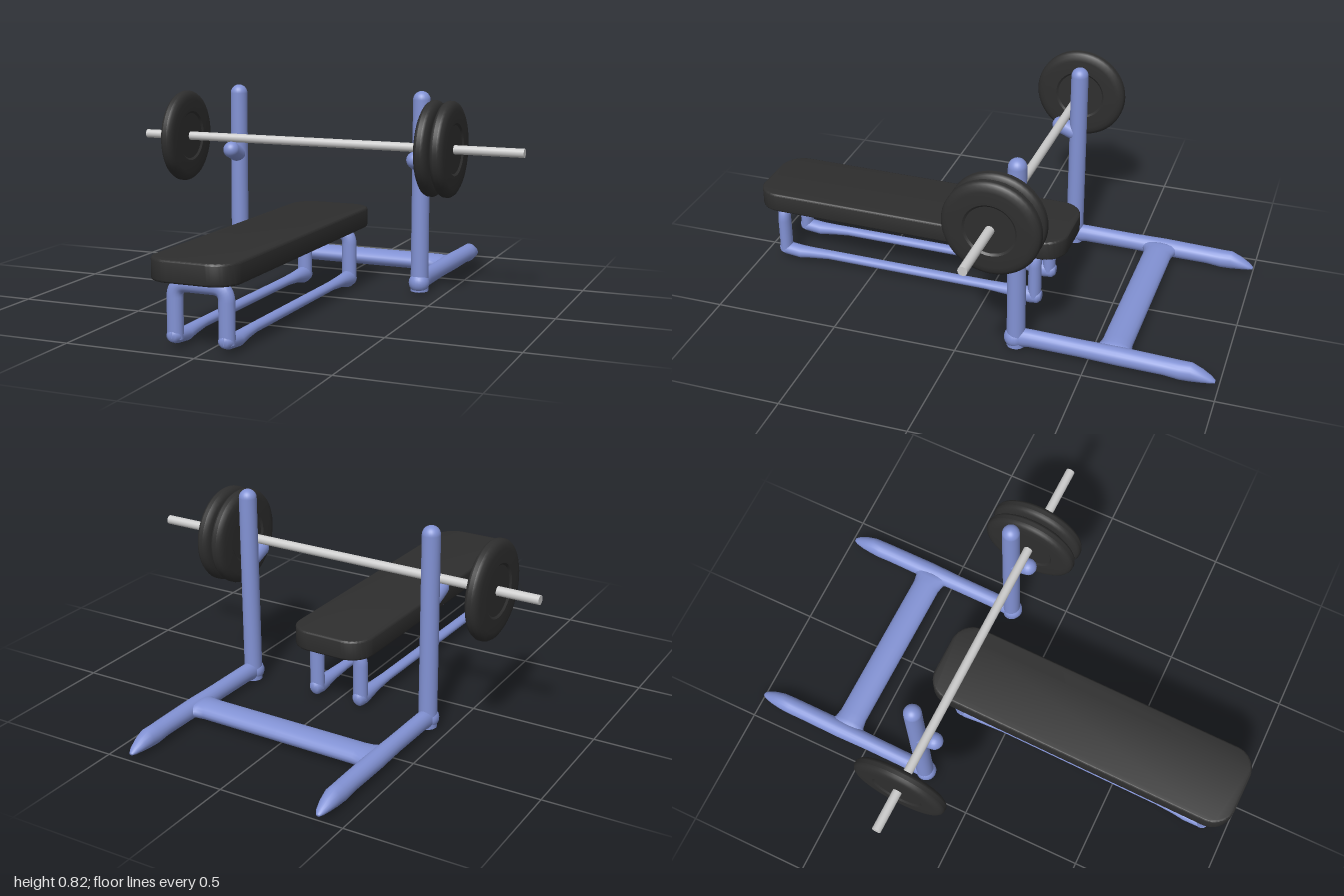
import * as THREE from 'three';
import { toCreasedNormals } from 'three/addons/utils/BufferGeometryUtils.js';

const blue = new THREE.MeshStandardMaterial({ color: 0x8292d4 });
const black = new THREE.MeshStandardMaterial({ color: 0x2e2e2e });
const steel = new THREE.MeshStandardMaterial({ color: 0xcccccc });

function add(parent, name, geometry, material, x = 0, y = 0, z = 0) {
  const mesh = new THREE.Mesh(geometry, material);
  mesh.name = name;
  mesh.position.set(x, y, z);
  parent.add(mesh);
  return mesh;
}

// Closed skin over elliptical rings [z, y, halfWidth, halfHeight], z increasing
function loft(rings, sides = 20) {
  const first = rings[0], last = rings[rings.length - 1];
  const all = [[first[0], first[1], 0, 0], ...rings, [last[0], last[1], 0, 0]];
  const pos = [], index = [];
  all.forEach(([z, y, rx, ry], i) => {
    for (let j = 0; j < sides; j++) {
      const a = (j / sides) * Math.PI * 2;
      pos.push(rx * Math.cos(a), y + ry * Math.sin(a), z);
      if (i === all.length - 1) continue;
      const p = i * sides + j, q = i * sides + ((j + 1) % sides);
      index.push(p, q, q + sides, p, q + sides, p + sides);
    }
  });
  const g = new THREE.BufferGeometry();
  g.setAttribute('position', new THREE.Float32BufferAttribute(pos, 3));
  g.setIndex(index);
  g.computeVertexNormals();
  return g;
}

// Rounded cushion: w along x, l along z, sitting from y = 0 to h
function cushion(w, l, h, r) {
  const b = 0.008, x = w / 2 - b, y = l / 2 - b;
  const s = new THREE.Shape();
  s.moveTo(-x + r, -y);
  s.lineTo(x - r, -y).absarc(x - r, -y + r, r, -Math.PI / 2, 0);
  s.lineTo(x, y - r).absarc(x - r, y - r, r, 0, Math.PI / 2);
  s.lineTo(-x + r, y).absarc(-x + r, y - r, r, Math.PI / 2, Math.PI);
  s.lineTo(-x, -y + r).absarc(-x + r, -y + r, r, Math.PI, Math.PI * 1.5);
  const g = new THREE.ExtrudeGeometry(s, {
    depth: h - 2 * b, bevelSize: b, bevelThickness: b, bevelSegments: 3, curveSegments: 10,
  });
  g.rotateX(-Math.PI / 2).translate(0, b, 0);
  return toCreasedNormals(g, 0.6);
}

// Weight plate with a dished centre, axis along x
function plateGeometry() {
  const side = [[0, 0.021], [0.096, 0.021], [0.104, 0.0275], [0.155, 0.0275], [0.172, 0.025], [0.184, 0.018], [0.19, 0.008]];
  const points = [
    ...side.map(([r, y]) => new THREE.Vector2(r, -y)),
    ...side.slice().reverse().map(([r, y]) => new THREE.Vector2(r, y)),
  ];
  return toCreasedNormals(new THREE.LatheGeometry(points, 48).rotateZ(Math.PI / 2), 0.6);
}

function buildRack(parent) {
  const rack = new THREE.Group();
  rack.name = 'rack';
  rack.position.x = -0.014;
  parent.add(rack);
  const railRings = [
    [-0.992, 0.022, 0.008, 0.005], [-0.975, 0.028, 0.018, 0.014], [-0.94, 0.037, 0.028, 0.026],
    [-0.9, 0.044, 0.034, 0.037], [-0.86, 0.043, 0.036, 0.037], [-0.8, 0.047, 0.036, 0.034],
    [-0.62, 0.049, 0.037, 0.036], [-0.48, 0.05, 0.033, 0.034], [-0.28, 0.05, 0.032, 0.036],
    [-0.22, 0.045, 0.033, 0.04], [-0.19, 0.045, 0.026, 0.032],
  ];
  for (const s of [-1, 1]) {
    const x = s * 0.405;
    // Upright with rounded top
    add(rack, 'upright', new THREE.CylinderGeometry(0.035, 0.036, 0.775, 24), blue, x, 0.3975, -0.22);
    add(rack, 'uprightTop', new THREE.SphereGeometry(0.035, 24, 12, 0, Math.PI * 2, 0, Math.PI / 2), blue, x, 0.785, -0.22);
    add(rack, 'uprightBase', new THREE.SphereGeometry(0.042, 20, 14), blue, x, 0.045, -0.215);
    // Floor rail with tapered foot
    add(rack, 'floorRail', loft(railRings), blue, x);
    // Stubby bar rest, tilted up
    const hook = add(rack, 'barRest', new THREE.CapsuleGeometry(0.034, 0.06, 8, 20), blue, x, 0.542, -0.172);
    hook.rotation.x = 1.2;
  }
  // Cross tube, flared where it meets the rails
  const half = [[0.33, 0.05, 0.059, 0.035], [0.365, 0.05, 0.066, 0.034], [0.38, 0.05, 0.08, 0.031], [0.4, 0.05, 0.095, 0.024]];
  const crossRings = [
    ...half.slice().reverse().map(([z, ...r]) => [-z, ...r]),
    [0, 0.05, 0.059, 0.035], ...half,
  ];
  add(rack, 'crossTube', loft(crossRings), blue, 0, 0, -0.6).rotation.y = Math.PI / 2;
}

function buildBench(parent) {
  const bench = new THREE.Group();
  bench.name = 'bench';
  bench.position.x = -0.014;
  parent.add(bench);
  add(bench, 'seat', cushion(0.336, 1.32, 0.08, 0.085), black, -0.003, 0.25, 0.335);

  // Arched leg frames, front and back
  const top = 0.232, w = 0.1, r = 0.05;
  const V = (x, y) => new THREE.Vector3(x, y, 0);
  const path = new THREE.CurvePath();
  path.add(new THREE.LineCurve3(V(-w, 0.035), V(-w, top - r)));
  path.add(new THREE.QuadraticBezierCurve3(V(-w, top - r), V(-w, top), V(-w + r, top)));
  path.add(new THREE.LineCurve3(V(-w + r, top), V(w - r, top)));
  path.add(new THREE.QuadraticBezierCurve3(V(w - r, top), V(w, top), V(w, top - r)));
  path.add(new THREE.LineCurve3(V(w, top - r), V(w, 0.035)));
  for (const z of [-0.2, 0.9]) {
    const leg = add(bench, 'legArch', new THREE.TubeGeometry(path, 60, 0.03, 16), blue, 0.006, 0, z);
    leg.scale.z = 0.87;
  }

  // Long floor bars joining the leg frames, swollen at the feet
  const barRings = [
    [-0.228, 0.042, 0.018, 0.02], [-0.215, 0.04, 0.028, 0.031], [-0.18, 0.04, 0.031, 0.034],
    [-0.1, 0.045, 0.026, 0.023], [0, 0.047, 0.022, 0.018], [0.7, 0.045, 0.022, 0.018],
    [0.78, 0.04, 0.025, 0.022], [0.83, 0.036, 0.03, 0.026], [0.9, 0.043, 0.03, 0.026],
    [0.918, 0.046, 0.026, 0.022], [0.926, 0.048, 0.015, 0.015],
  ];
  for (const s of [-1, 1]) add(bench, 'benchFloorBar', loft(barRings), blue, s * w + 0.006);
}

function buildBarbell(parent) {
  const barbell = new THREE.Group();
  barbell.name = 'barbell';
  barbell.position.set(-0.003, 0.6, -0.168);
  parent.add(barbell);
  const bar = new THREE.CylinderGeometry(0.018, 0.018, 1.66, 24).rotateZ(Math.PI / 2);
  add(barbell, 'bar', bar, steel);
  const plate = plateGeometry();
  for (const x of [-0.642, 0.463, 0.528]) add(barbell, 'weightPlate', plate, black, x);
}

export function createModel() {
  const model = new THREE.Group();
  model.name = 'benchPress';
  // Everything stands turned very slightly on the floor
  const body = new THREE.Group();
  body.name = 'assembly';
  body.rotation.y = -0.017;
  model.add(body);
  buildRack(body);
  buildBench(body);
  buildBarbell(body);
  return model;
}
